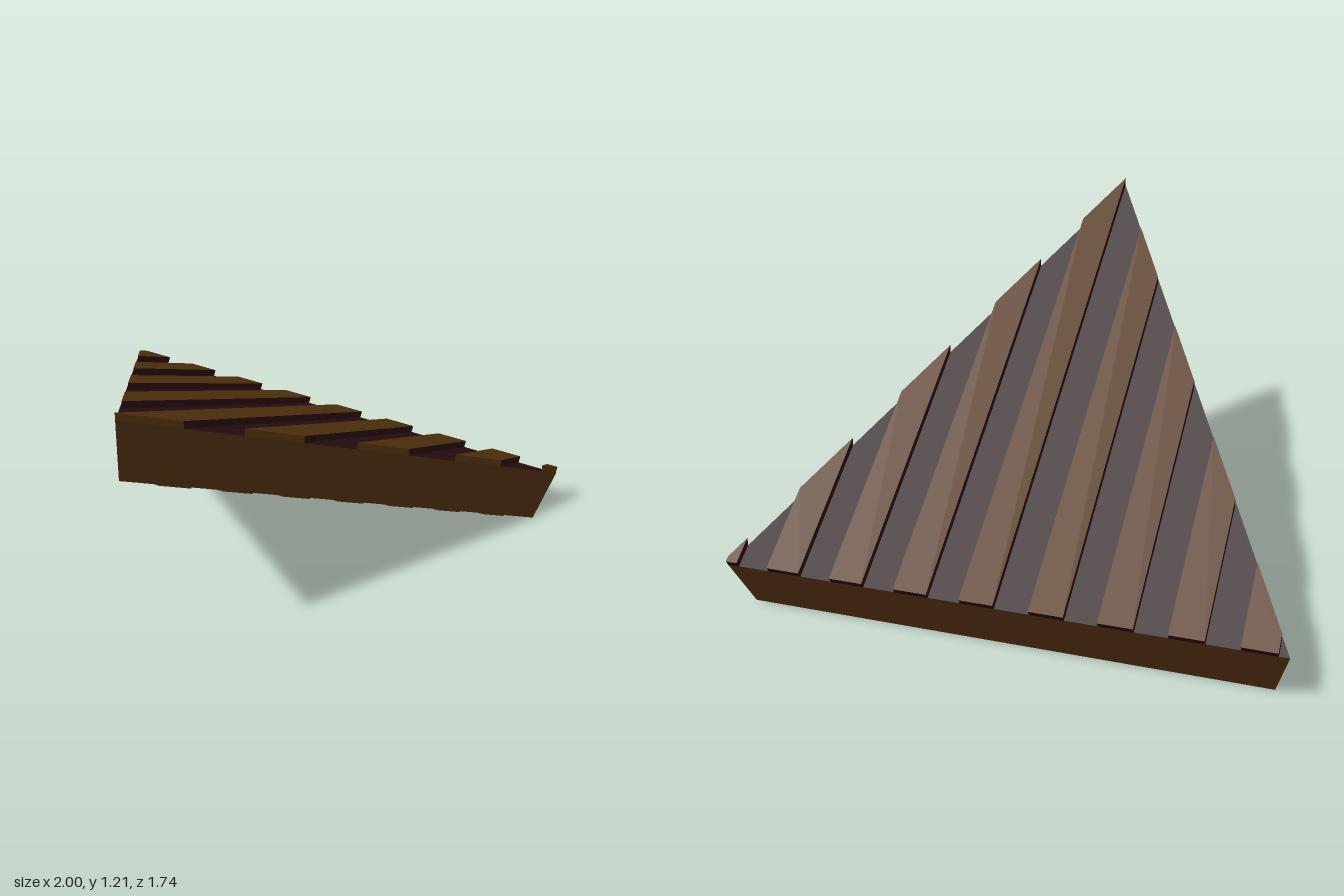
import * as THREE from 'three';

const ridgeWood = new THREE.MeshStandardMaterial({ name: 'ridge wood', color: 0x56340f });
const frameWood = new THREE.MeshStandardMaterial({ name: 'frame wood', color: 0x4e2d10 });
const darkWood = new THREE.MeshStandardMaterial({ name: 'dark wood', color: 0x290e11 });

const FRONT = 0.865;
const edgeZ = x => FRONT - 1.72 * Math.abs(x);        // plan outline of the triangle
const edgeX = z => (FRONT - z) / 1.72;
const deckY = z => 0.685 + 0.577 * z;                 // sloping upper deck
const underY = z => 0.95 + (z - FRONT) * 0.581;       // sloping underside
const underZ = y => FRONT + (y - 0.95) / 0.581;

// Solid between two matching rings (counterclockwise from above).
// Materials: one per side, then top, then bottom.
function prism(name, bottom, top, materials) {
  const pos = [];
  const geometry = new THREE.BufferGeometry();
  const n = top.length;
  const face = (points, material) => {
    const start = pos.length / 3;
    for (let i = 1; i < points.length - 1; i++) {
      pos.push(...points[0], ...points[i], ...points[i + 1]);
    }
    geometry.addGroup(start, pos.length / 3 - start, material);
  };
  for (let i = 0; i < n; i++) {
    const j = (i + 1) % n;
    face([bottom[i], bottom[j], top[j], top[i]], i);
  }
  face(top, n);
  face([...bottom].reverse(), n + 1);
  geometry.setAttribute('position', new THREE.Float32BufferAttribute(pos, 3));
  geometry.computeVertexNormals();
  const mesh = new THREE.Mesh(geometry, materials);
  mesh.name = name;
  return mesh;
}

export function createModel() {
  const model = new THREE.Group();
  model.name = 'triangularRoofSection';

  // Tilted triangular slab with framed edges
  const back = -0.855, underBack = underZ(0);
  const halfUnder = edgeX(underBack);
  model.add(prism('slab',
    [[-halfUnder, 0, underBack], [0, underY(FRONT), FRONT], [halfUnder, 0, underBack]],
    [[-1, deckY(back), back], [0, deckY(FRONT), FRONT], [1, deckY(back), back]],
    [frameWood, frameWood, frameWood, darkWood, darkWood]));

  // Raised planks running down the slope
  const planks = new THREE.Group();
  planks.name = 'upperPlanks';
  for (let k = -4; k <= 4; k++) {
    const x0 = k * 0.239 + (k < 0 ? -0.008 : 0);
    const x1 = Math.min(x0 + 0.122, 0.998);
    const inset = k < 0 ? 0.015 : 0;
    const plan = [[x0, 0], [x0, edgeZ(x0) - inset], [x1, edgeZ(x1) - inset], [x1, 0]];
    const ring = (lift, backZ) => plan.map(([x, z], i) => {
      const zz = i === 0 || i === 3 ? backZ : z;
      return [x, deckY(zz) + lift, zz];
    });
    const end = k < 0 ? darkWood : ridgeWood;
    planks.add(prism('upperPlank', ring(0, -0.856), ring(0.03, -0.87),
      [darkWood, end, darkWood, darkWood, ridgeWood, darkWood]));
  }
  model.add(planks);

  // Cross strips on the underside
  const strips = new THREE.Group();
  strips.name = 'underStrips';
  for (let y = 0.085; y < 0.9; y += 0.122) {
    const z0 = underZ(y), z1 = underZ(Math.min(y + 0.061, 0.94));
    const ring = drop => [[-edgeX(z0), z0], [-edgeX(z1), z1], [edgeX(z1), z1], [edgeX(z0), z0]]
      .map(([x, z]) => [x, underY(z) - drop, z]);
    strips.add(prism('underStrip', ring(0.005), ring(0), Array(6).fill(ridgeWood)));
  }
  model.add(strips);

  return model;
}
